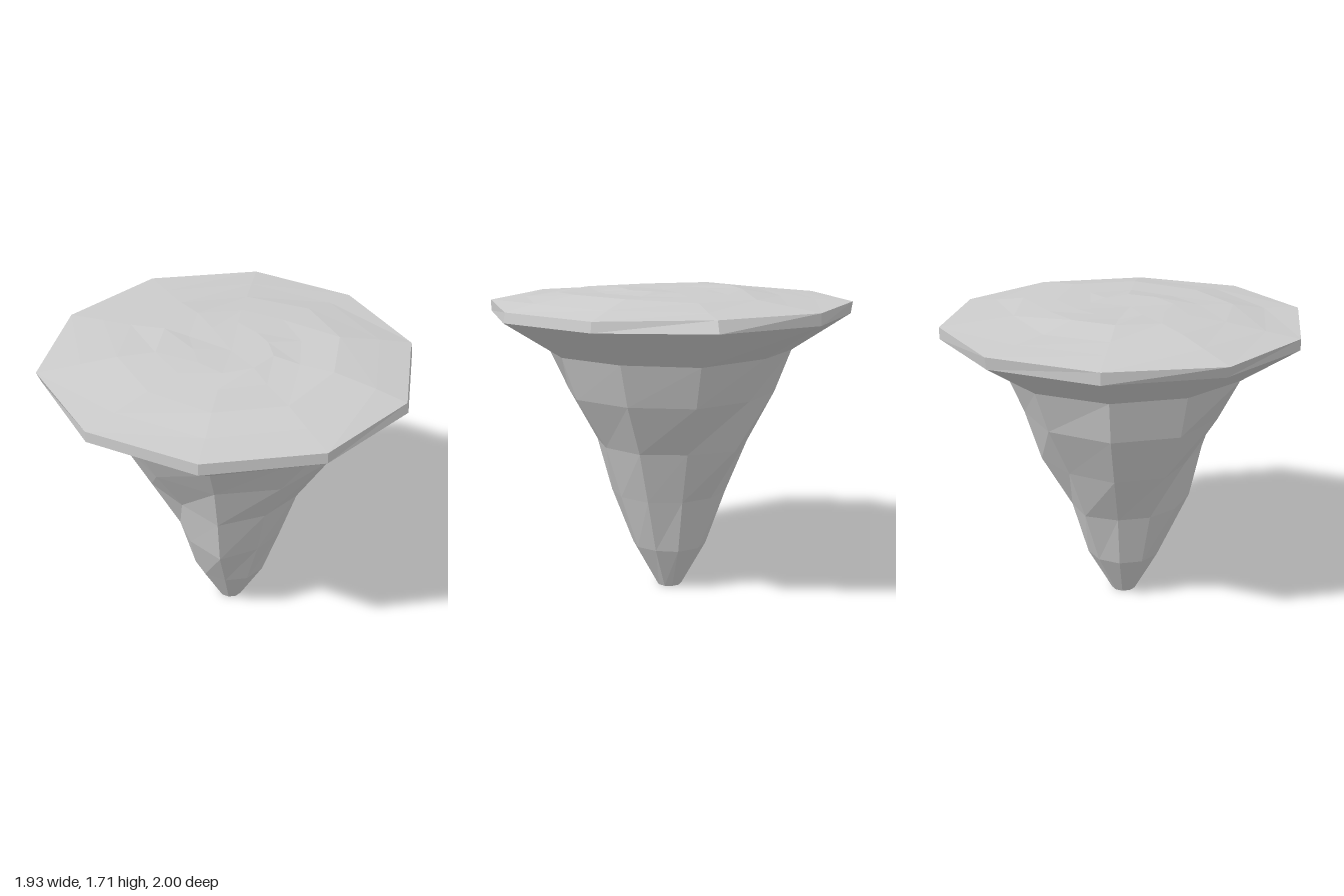
import * as THREE from 'three';

const SIDES = 10;
const CX = 0.01;

// Ring of ten points; angle 0 faces +z and runs towards +x.
// Radii and heights may be one number or one value per corner.
function ring(radii, heights) {
  const pick = (v, i) => (Array.isArray(v) ? v[i] : v);
  return Array.from({ length: SIDES }, (_, i) => {
    const a = (i / SIDES) * Math.PI * 2;
    const r = pick(radii, i);
    return [CX + r * Math.sin(a), pick(heights, i), r * Math.cos(a)];
  });
}

// Skin a stack of rings (listed bottom to top), optionally closed with end points.
function skin(name, rings, { bottom, top }) {
  const pos = [];
  const tri = (...pts) => pts.forEach((p) => pos.push(...p));
  const last = rings[rings.length - 1];
  for (let i = 0; i < SIDES; i++) {
    const j = (i + 1) % SIDES;
    for (let k = 0; k < rings.length - 1; k++) {
      const lo = rings[k], hi = rings[k + 1];
      tri(lo[i], lo[j], hi[j]);
      tri(lo[i], hi[j], hi[i]);
    }
    if (bottom) tri(bottom, rings[0][j], rings[0][i]);
    if (top) tri(last[i], last[j], top);
  }
  const geo = new THREE.BufferGeometry();
  geo.setAttribute('position', new THREE.Float32BufferAttribute(pos, 3));
  geo.computeVertexNormals();
  const mesh = new THREE.Mesh(geo, new THREE.MeshStandardMaterial({ color: 0xcccccc, flatShading: true }));
  mesh.name = name;
  return mesh;
}

export function createModel() {
  const group = new THREE.Group();
  group.name = 'floatingIsland';

  // Shared rim edges
  const rimLow = ring(1, 1.58);
  const rimHigh = ring(
    [1, 1, 0.99, 0.99, 0.97, 1, 1.01, 1, 1.025, 1],
    [1.645, 1.64, 1.635, 1.635, 1.645, 1.645, 1.645, 1.645, 1.64, 1.64]);

  // Tapering rock with uneven corners
  const rock = [
    ring(0.07, 0),
    ring([0.21, 0.21, 0.21, 0.20, 0.21, 0.21, 0.21, 0.21, 0.21, 0.21], 0.25),
    ring([0.39, 0.33, 0.315, 0.31, 0.30, 0.30, 0.32, 0.295, 0.295, 0.32], 0.56),
    ring([0.46, 0.41, 0.41, 0.42, 0.41, 0.47, 0.44, 0.46, 0.45, 0.38], 0.855),
    ring([0.56, 0.57, 0.585, 0.575, 0.59, 0.56, 0.59, 0.61, 0.60, 0.56], 1.14),
    ring([0.69, 0.68, 0.67, 0.66, 0.68, 0.66, 0.68, 0.67, 0.66, 0.68],
      [1.355, 1.37, 1.375, 1.375, 1.37, 1.38, 1.375, 1.375, 1.375, 1.37]),
    rimLow,
  ];
  group.add(skin('rock', rock, { bottom: [CX, 0, 0] }));

  // Thin vertical rim
  group.add(skin('rim', [rimLow, rimHigh], {}));

  // Gently bumpy ground, rings from the rim inwards
  const ground = [
    rimHigh,
    ring([0.80, 0.80, 0.82, 0.81, 0.80, 0.80, 0.80, 0.79, 0.79, 0.81],
      [1.655, 1.66, 1.67, 1.67, 1.66, 1.665, 1.66, 1.665, 1.67, 1.66]),
    ring([0.62, 0.62, 0.59, 0.59, 0.62, 0.60, 0.61, 0.61, 0.60, 0.59],
      [1.685, 1.685, 1.705, 1.705, 1.69, 1.685, 1.675, 1.68, 1.695, 1.685]),
    ring([0.42, 0.40, 0.40, 0.38, 0.41, 0.41, 0.40, 0.40, 0.40, 0.38],
      [1.695, 1.69, 1.70, 1.70, 1.70, 1.70, 1.71, 1.71, 1.705, 1.70]),
    ring([0.28, 0.26, 0.25, 0.20, 0.20, 0.26, 0.22, 0.25, 0.20, 0.24],
      [1.705, 1.71, 1.712, 1.71, 1.705, 1.705, 1.705, 1.70, 1.705, 1.705]),
  ];
  group.add(skin('ground', ground, { top: [0.02, 1.70, 0.04] }));

  return group;
}
